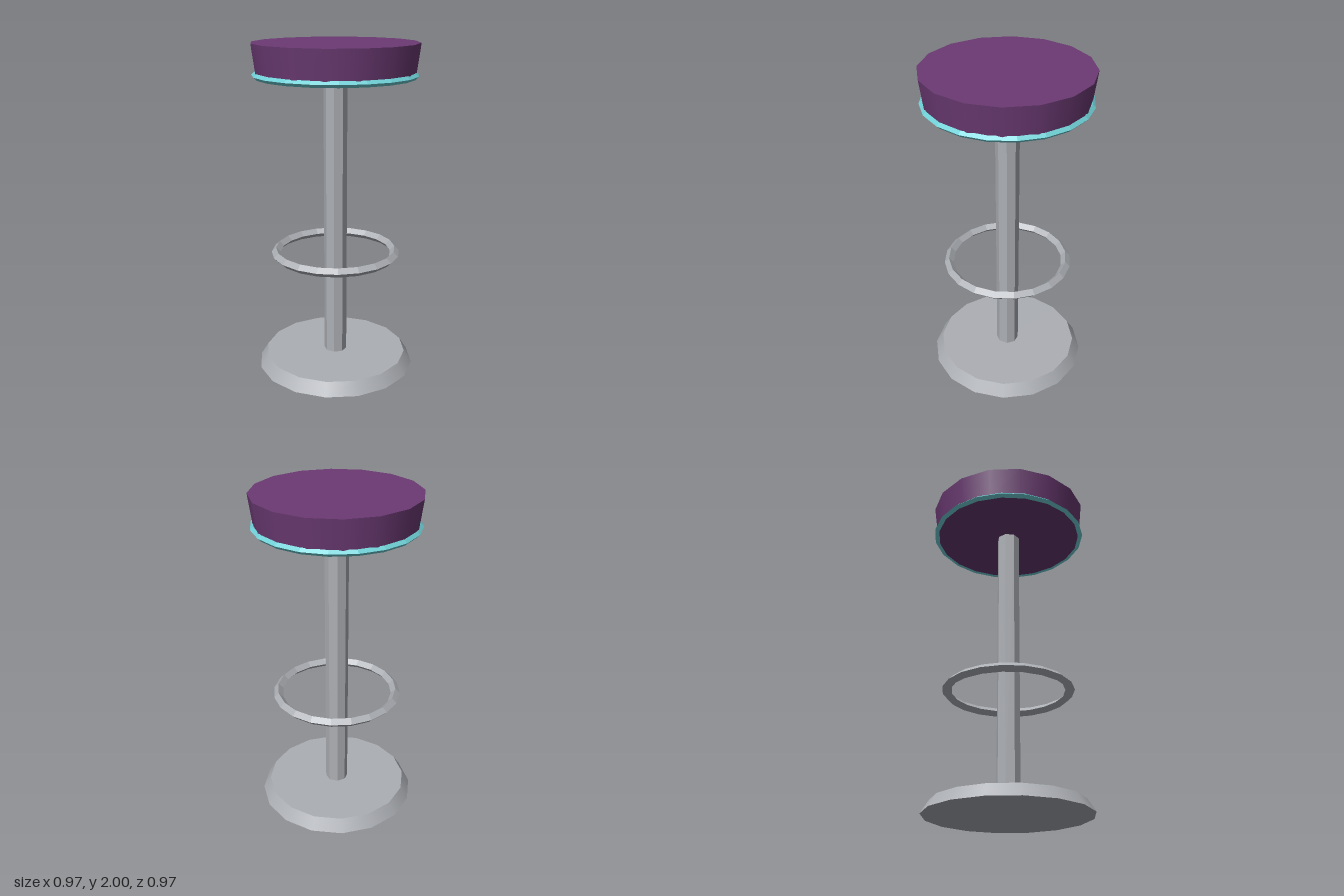
import * as THREE from 'three';

export function createModel() {
  const group = new THREE.Group();
  group.name = 'barStool';

  const material = (name, color, flatShading = false) => {
    const m = new THREE.MeshStandardMaterial({ color, flatShading });
    m.name = name;
    return m;
  };
  const metal = material('brushedMetal', 0xacafb4);
  const purple = material('purpleVinyl', 0x6b3a73);
  const teal = material('tealTrim', 0x6fd0d6, true);

  const add = (name, geometry, mat, y) => {
    const mesh = new THREE.Mesh(geometry, mat);
    mesh.name = name;
    mesh.position.y = y;
    group.add(mesh);
  };
  // Upright cylinder or cone between two heights
  const disc = (name, rTop, rBottom, y0, y1, sides, mat, flat) => {
    let g = new THREE.CylinderGeometry(rTop, rBottom, y1 - y0, sides);
    if (flat) {
      g = g.toNonIndexed();
      g.computeVertexNormals();
    }
    add(name, g, mat, (y0 + y1) / 2);
  };
  // Flat-lying ring with a diamond cross-section
  const ring = (name, radius, tube, y, mat) => {
    const g = new THREE.TorusGeometry(radius, tube, 4, 20).rotateX(Math.PI / 2).toNonIndexed();
    g.computeVertexNormals();
    add(name, g, mat, y);
  };

  disc('base', 0.44, 0.487, 0, 0.075, 16, metal);
  disc('pole', 0.07, 0.07, 0.07, 1.82, 8, metal, true);
  ring('footRing', 0.366, 0.028, 0.737, metal);
  disc('seat', 0.487, 0.462, 1.81, 2, 16, purple);
  ring('seatTrim', 0.465, 0.018, 1.818, teal);

  return group;
}
